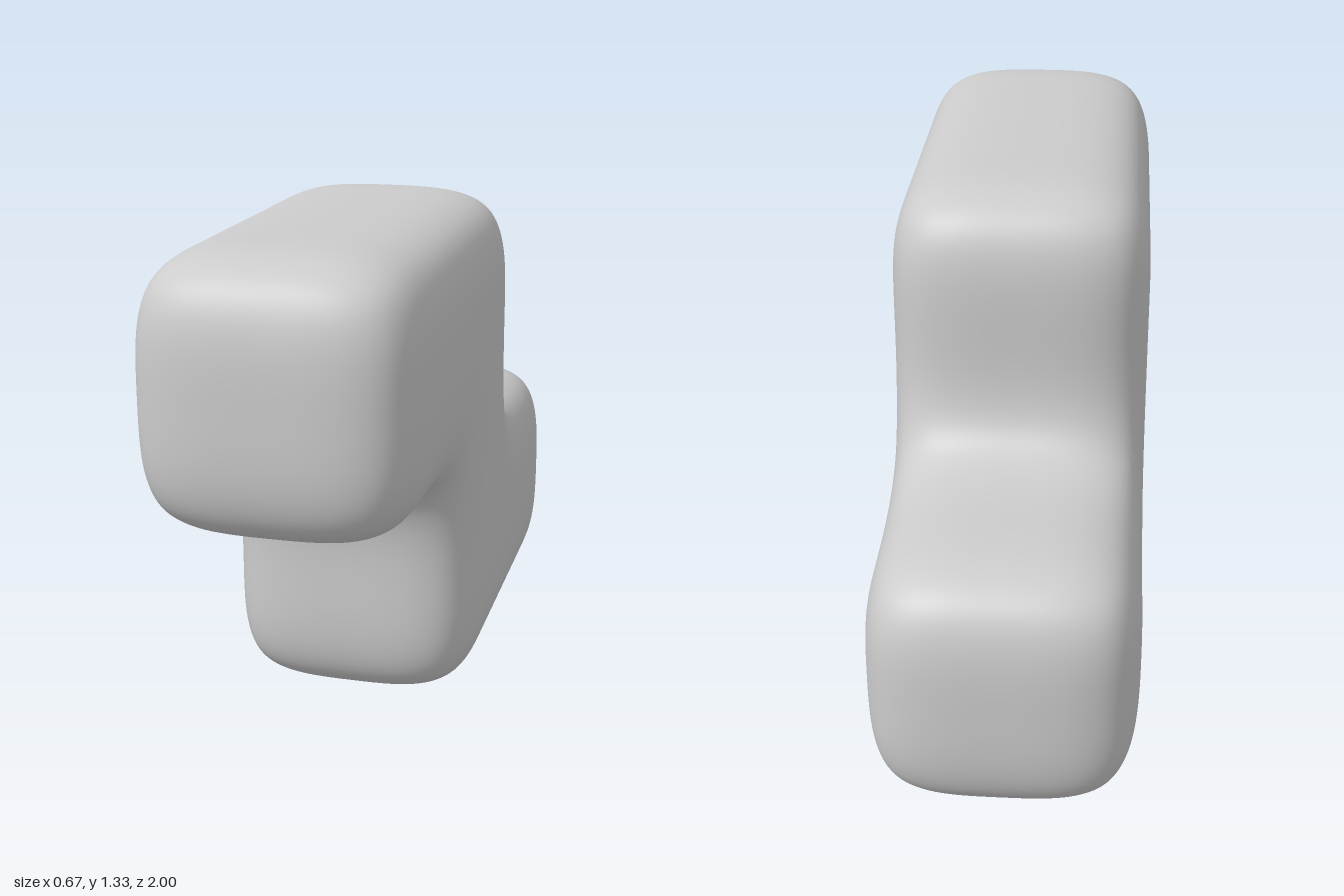
import * as THREE from 'three';

const CELL = 1 / 3; // control cage spacing: each block of the shape is 2 x 2 x 2 cells
const SIZE = [2, 4, 6];

// Two stacked bars, the upper one shifted forward by one block
function isSolid([x, y, z]) {
  if (x < 0 || x >= SIZE[0] || y < 0 || y >= SIZE[1]) return false;
  return y < 2 ? z >= 0 && z < 4 : z >= 2 && z < 6;
}

// Quad cage around the solid cells
function buildCage() {
  const points = [], quads = [], lookup = new Map();
  const vertex = (p) => {
    const key = p.join();
    if (!lookup.has(key)) {
      lookup.set(key, points.length);
      points.push(new THREE.Vector3(p[0] - 1, p[1], p[2] - 3).multiplyScalar(CELL));
    }
    return lookup.get(key);
  };
  for (let x = 0; x < SIZE[0]; x++)
    for (let y = 0; y < SIZE[1]; y++)
      for (let z = 0; z < SIZE[2]; z++) {
        const cell = [x, y, z];
        if (!isSolid(cell)) continue;
        for (let axis = 0; axis < 3; axis++)
          for (const dir of [-1, 1]) {
            const next = [...cell];
            next[axis] += dir;
            if (isSolid(next)) continue;
            const quad = [[0, 0], [1, 0], [1, 1], [0, 1]].map(([u, v]) => {
              const p = [...cell];
              if (dir > 0) p[axis]++;
              p[(axis + 1) % 3] += u;
              p[(axis + 2) % 3] += v;
              return vertex(p);
            });
            quads.push(dir > 0 ? quad : quad.reverse());
          }
      }
  return { points, quads };
}

// One step of Catmull-Clark smoothing on a closed quad mesh
function subdivide({ points, quads }) {
  const n = points.length;
  const edges = new Map();
  const around = points.map(() => ({ face: new THREE.Vector3(), mid: new THREE.Vector3(), count: 0 }));
  const edgeKey = (a, b) => Math.min(a, b) * n + Math.max(a, b);

  const centres = quads.map((q) => {
    const c = new THREE.Vector3();
    q.forEach((i) => c.addScaledVector(points[i], 0.25));
    q.forEach((a, k) => {
      const b = q[(k + 1) % 4], key = edgeKey(a, b);
      around[a].face.add(c);
      around[a].count++;
      if (!edges.has(key)) edges.set(key, { a, b, sum: new THREE.Vector3() });
      edges.get(key).sum.add(c);
    });
    return c;
  });

  const edgePoints = [];
  for (const e of edges.values()) {
    const ends = points[e.a].clone().add(points[e.b]);
    around[e.a].mid.addScaledVector(ends, 0.5);
    around[e.b].mid.addScaledVector(ends, 0.5);
    e.index = n + edgePoints.length;
    edgePoints.push(ends.add(e.sum).multiplyScalar(0.25));
  }

  const moved = points.map((p, i) => {
    const { face, mid, count } = around[i];
    return p.clone().multiplyScalar((count - 3) / count)
      .addScaledVector(face, 1 / count ** 2)
      .addScaledVector(mid, 2 / count ** 2);
  });

  const firstCentre = n + edgePoints.length;
  const smaller = quads.flatMap((q, f) => q.map((a, k) => [
    a,
    edges.get(edgeKey(a, q[(k + 1) % 4])).index,
    firstCentre + f,
    edges.get(edgeKey(q[(k + 3) % 4], a)).index,
  ]));
  return { points: [...moved, ...edgePoints, ...centres], quads: smaller };
}

export function createModel() {
  const group = new THREE.Group();
  group.name = 'steppedBlock';

  let cage = buildCage();
  for (let level = 0; level < 4; level++) cage = subdivide(cage);

  const geometry = new THREE.BufferGeometry().setFromPoints(cage.points);
  geometry.setIndex(cage.quads.flatMap(([a, b, c, d]) => [a, b, c, a, c, d]));
  geometry.computeVertexNormals();

  // Soft, rounded stepped body
  const body = new THREE.Mesh(geometry, new THREE.MeshStandardMaterial({ color: 0xcccccc }));
  body.name = 'body';
  group.add(body);
  return group;
}
